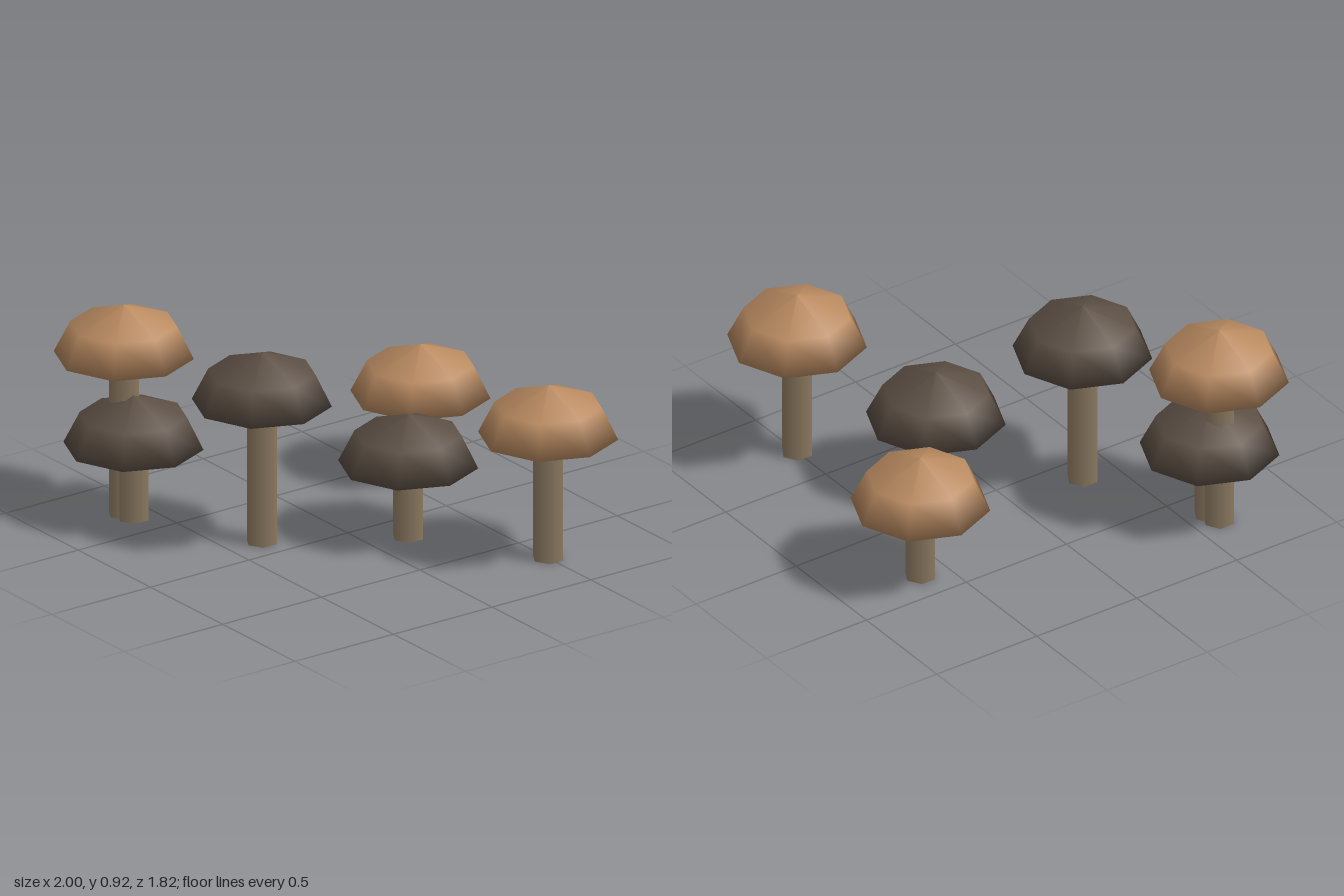
import * as THREE from 'three';

const tan = new THREE.MeshStandardMaterial({ color: 0xb98a60 });
const dark = new THREE.MeshStandardMaterial({ color: 0x5c4f44 });
const stemColor = new THREE.MeshStandardMaterial({ color: 0x8a7860 });

// Eight-sided cap: flat underside, steep skirt, shallow crown
const capGeometry = new THREE.LatheGeometry(
  [[0, 0], [0.29, 0], [0.222, 0.137], [0, 0.222]].map(([r, y]) => new THREE.Vector2(r, y)), 8);

function createMushroom(x, z, stemHeight, capMaterial) {
  const mushroom = new THREE.Group();
  mushroom.name = 'mushroom';
  mushroom.position.set(x, 0, z);

  // Six-sided stem, reaching slightly into the cap
  const height = stemHeight + 0.02;
  const stem = new THREE.Mesh(new THREE.CylinderGeometry(0.067, 0.067, height, 6), stemColor);
  stem.name = 'stem';
  stem.position.y = height / 2;

  const cap = new THREE.Mesh(capGeometry, capMaterial);
  cap.name = 'cap';
  cap.position.y = stemHeight;

  mushroom.add(stem, cap);
  return mushroom;
}

export function createModel() {
  const model = new THREE.Group();
  model.name = 'mushroomCluster';
  // x, z, stem height, cap colour
  const layout = [
    [-0.71, 0.615, 0.7, tan],
    [-0.65, 0.61, 0.318, dark],
    [-0.35, -0.625, 0.347, tan],
    [-0.13, 0.34, 0.614, dark],
    [0.18, -0.175, 0.32, dark],
    [0.705, -0.5, 0.54, tan],
  ];
  for (const entry of layout) model.add(createMushroom(...entry));
  return model;
}
